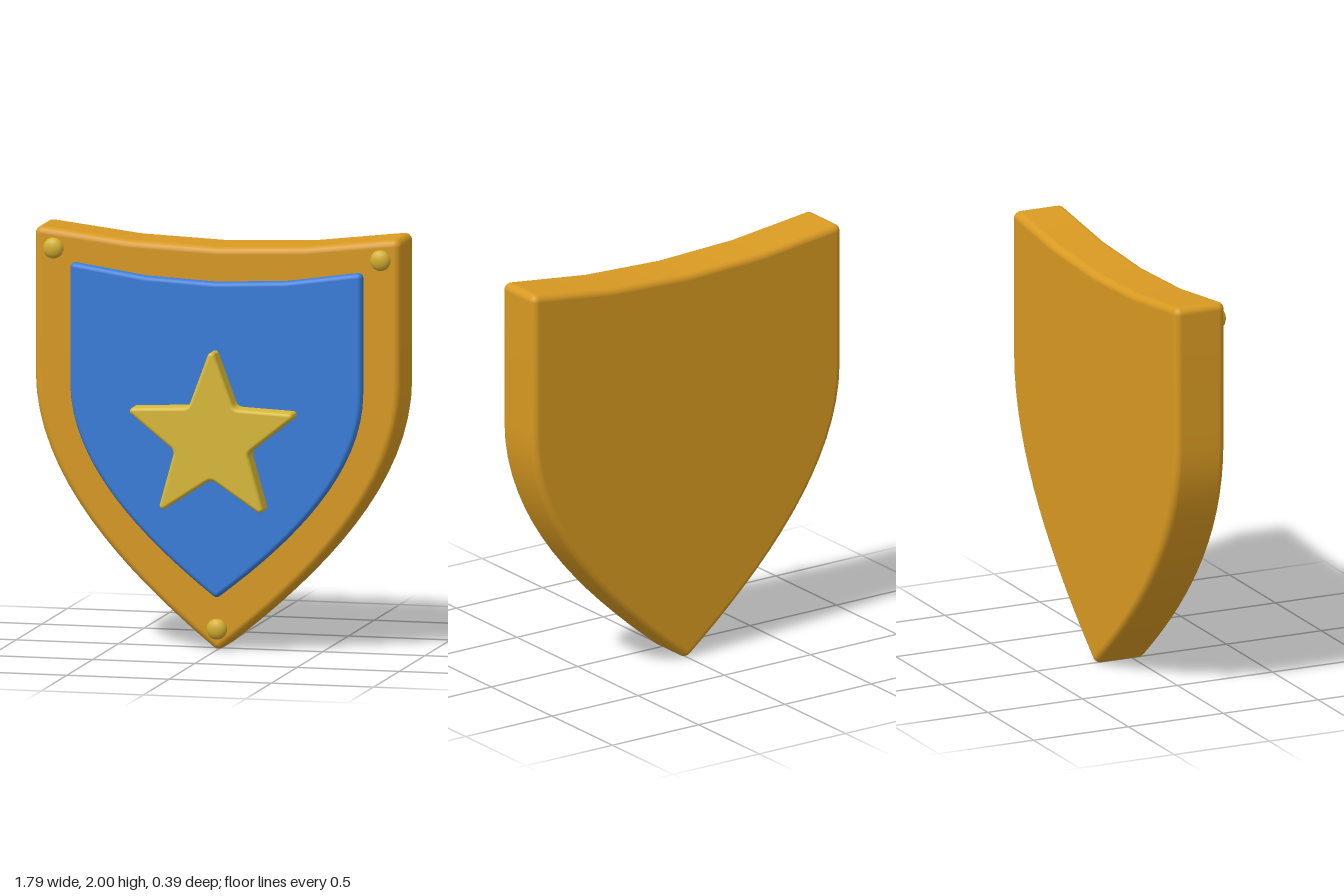
import * as THREE from 'three';

const V2 = (x, y) => new THREE.Vector2(x, y);

// Pillow-edged slab: a counter-clockwise core outline swelled outward by r, from z0 to z1.
function roundedSlab(core, z0, z1, r) {
  const rim = []; // core point, outward direction, mitre length
  core.forEach((p, i) => {
    const n = core.length;
    const a = p.clone().sub(core[(i + n - 1) % n]).normalize();
    const b = core[(i + 1) % n].clone().sub(p).normalize();
    const turn = Math.atan2(a.cross(b), a.dot(b));
    const start = Math.atan2(-a.x, a.y);
    if (turn > 0.4) { // sharp convex corner: sweep a round fan
      for (let k = 0; k <= 6; k++) {
        const t = start + turn * k / 6;
        rim.push({ p, d: V2(Math.cos(t), Math.sin(t)), m: 1 });
      }
    } else {
      const t = start + turn / 2;
      rim.push({ p, d: V2(Math.cos(t), Math.sin(t)), m: 1 / Math.cos(turn / 2) });
    }
  });

  const pos = [], nor = [], idx = [];
  const steps = 5, n = rim.length, rings = 2 * (steps + 1);
  for (let s = 0; s < rings; s++) {
    const front = s > steps;
    const a = (front ? s - steps - 1 : s - steps) / steps * Math.PI / 2;
    const z = (front ? z1 - r : z0 + r) + r * Math.sin(a);
    for (const { p, d, m } of rim) {
      const c = Math.cos(a);
      pos.push(p.x + d.x * r * c * m, p.y + d.y * r * c * m, z);
      nor.push(d.x * c, d.y * c, Math.sin(a));
    }
  }
  for (let s = 0; s < rings - 1; s++) {
    for (let j = 0; j < n; j++) {
      const k = (j + 1) % n, A = s * n, B = A + n;
      idx.push(A + j, A + k, B + k, A + j, B + k, B + j);
    }
  }
  // flat front and back faces
  const faces = THREE.ShapeUtils.triangulateShape(core, []);
  for (const [z, side] of [[z0, -1], [z1, 1]]) {
    const base = pos.length / 3;
    for (const p of core) {
      pos.push(p.x, p.y, z);
      nor.push(0, 0, side);
    }
    for (const [a, b, c] of faces) {
      if (side > 0) idx.push(base + a, base + b, base + c);
      else idx.push(base + a, base + c, base + b);
    }
  }
  const g = new THREE.BufferGeometry();
  g.setAttribute('position', new THREE.Float32BufferAttribute(pos, 3));
  g.setAttribute('normal', new THREE.Float32BufferAttribute(nor, 3));
  g.setIndex(idx);
  return g;
}

// Heater shield outline: dipped top, straight sides, curves down to a point.
function shieldOutline(w, top, dip, side, tip) {
  const h = side - tip;
  const arc = new THREE.QuadraticBezierCurve(V2(w, top), V2(0, top - 2 * dip), V2(-w, top)).getPoints(4);
  const left = new THREE.CubicBezierCurve(
    V2(-w, side), V2(-w, tip + h * 0.615), V2(-w * 0.5, tip + h * 0.27), V2(0, tip)).getPoints(16);
  const right = left.slice(0, -1).reverse().map(p => V2(-p.x, p.y));
  return [...arc, ...left, ...right];
}

// Five-pointed star with softened inner corners.
function starOutline(cy, outer, inner) {
  const at = (i) => {
    const a = Math.PI / 2 + i * Math.PI / 5, R = i % 2 ? inner : outer;
    return V2(Math.cos(a) * R, cy + Math.sin(a) * R);
  };
  const pts = [];
  for (let i = 0; i < 10; i += 2) {
    const tip = at(i), notch = at(i + 1), next = at(i + 2);
    pts.push(tip, ...new THREE.QuadraticBezierCurve(
      notch.clone().lerp(tip, 0.13), notch, notch.clone().lerp(next, 0.13)).getPoints(5));
  }
  return pts;
}

export function createModel() {
  const mat = (name, color) => {
    const m = new THREE.MeshStandardMaterial({ color });
    m.name = name;
    return m;
  };
  const bronze = mat('bronze', 0xd99a22);
  const blue = mat('blue', 0x397dda);
  const gold = mat('gold', 0xd9ba38);
  const studGold = mat('studGold', 0xd4af2f);

  const group = new THREE.Group();
  group.name = 'shield';
  const add = (name, geometry, material) => {
    const mesh = new THREE.Mesh(geometry, material);
    mesh.name = name;
    group.add(mesh);
    return mesh;
  };

  // body, raised field and emblem
  add('shieldBody', roundedSlab(shieldOutline(0.86, 1.965, 0.068, 1.3, 0.035), -0.2, 0.065, 0.035), bronze);
  add('field', roundedSlab(shieldOutline(0.692, 1.813, 0.068, 1.26, 0.278), 0.03, 0.1, 0.023), blue);
  add('star', roundedSlab(starOutline(1.025, 0.4, 0.168), 0.07, 0.195, 0.018), gold);

  // domed studs at the three corners
  const dome = new THREE.SphereGeometry(0.05, 20, 14);
  for (const [name, x, y] of [['leftStud', 0.8, 1.9], ['rightStud', -0.8, 1.9], ['bottomStud', 0, 0.1]]) {
    const stud = add(name, dome, studGold);
    stud.position.set(x, y, 0.072);
    stud.scale.z = 0.6;
  }
  return group;
}
